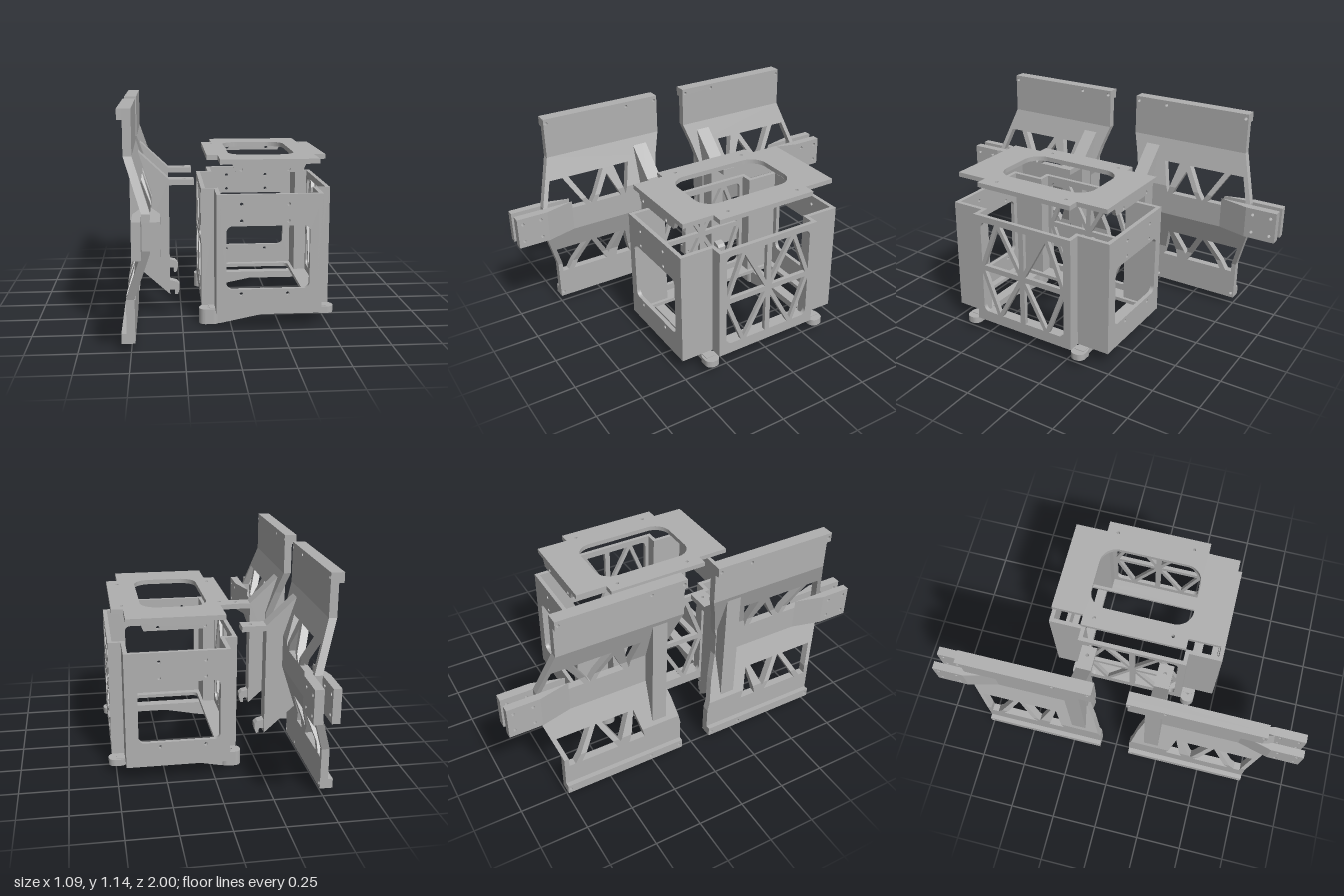
import * as THREE from 'three';
import { ConvexGeometry } from 'three/addons/geometries/ConvexGeometry.js';

const CZ = 0.01; // middle of the housing in z
const grey = new THREE.MeshStandardMaterial({ color: 0xb0b0b0 });
grey.name = 'grey plastic';

function add(parent, name, geometry) {
  const mesh = new THREE.Mesh(geometry, grey);
  mesh.name = name;
  parent.add(mesh);
  return mesh;
}
function group(parent, name) {
  const g = new THREE.Group();
  g.name = name;
  parent.add(g);
  return g;
}
const poly = pts => new THREE.Shape(pts.map(p => new THREE.Vector2(...p)));
const rect = (a, b, c, d) => poly([[a, b], [c, b], [c, d], [a, d]]);
const disc = (x, y, r = 0.009) => new THREE.Path().absarc(x, y, r, 0, Math.PI * 2, true);
function roundRect(a, b, c, d, r) {
  const s = new THREE.Shape();
  s.absarc(c - r, d - r, r, 0, Math.PI / 2);
  s.absarc(a + r, d - r, r, Math.PI / 2, Math.PI);
  s.absarc(a + r, b + r, r, Math.PI, Math.PI * 1.5);
  s.absarc(c - r, b + r, r, Math.PI * 1.5, Math.PI * 2);
  s.closePath();
  return s;
}
function extrude(shape, depth, holes = []) {
  shape.holes.push(...holes);
  return new THREE.ExtrudeGeometry(shape, { depth, bevelEnabled: false, curveSegments: 8 });
}
// Shape in x,y between z0 and z1
const plateXY = (shape, z0, z1, holes) => extrude(shape, z1 - z0, holes).translate(0, 0, z0);
// Shape in z,y between x0 and x1
const plateZY = (shape, x0, x1, holes) => extrude(shape, x1 - x0, holes).rotateY(-Math.PI / 2).translate(x1, 0, 0);
// Shape in x,z between y0 and y1
const plateXZ = (shape, y0, y1, holes) => extrude(shape, y1 - y0, holes).rotateX(Math.PI / 2).translate(0, y1, 0);
const box = (x0, x1, y0, y1, z0, z1) =>
  new THREE.BoxGeometry(x1 - x0, y1 - y0, z1 - z0).translate((x0 + x1) / 2, (y0 + y1) / 2, (z0 + z1) / 2);

// Amount the folded panel has moved inwards at height y (0 to 0.08)
function bend(y) {
  if (y < 0.51) return 0.08 * THREE.MathUtils.clamp((y - 0.26) / 0.25, 0, 1);
  return 0.08 * THREE.MathUtils.clamp((0.93 - y) / 0.25, 0, 1);
}
const inner = y => 0.085 + bend(y);
const outer = y => 0.755 + bend(y);

// Folded piece of panel: a strip from y0 to y1, cut at the folds
function foldedStrip(parent, name, s, y0, l0, r0, y1, l1, r1) {
  const ys = [y0, ...[0.26, 0.51, 0.68, 0.93].filter(f => f > y0 && f < y1), y1];
  for (let i = 0; i + 1 < ys.length; i++) {
    const pts = [];
    for (const y of [ys[i], ys[i + 1]]) {
      const t = (y - y0) / (y1 - y0);
      for (const z of [l0 + (l1 - l0) * t, r0 + (r1 - r0) * t])
        for (const x of [-0.52, -0.48]) pts.push(new THREE.Vector3(x + bend(y), y, z * s));
    }
    add(parent, name, new ConvexGeometry(pts));
  }
}

function buildPanel(root, s) {
  const g = group(root, s > 0 ? 'frontSidePanel' : 'backSidePanel');
  const zRect = (a, b, y0, y1) => rect(Math.min(a * s, b * s), y0, Math.max(a * s, b * s), y1);
  const span = (a, b) => [Math.min(a * s, b * s), Math.max(a * s, b * s)];
  const screwHoles = y => [0.74, 0.275, 0.102].map(z => disc(z * s, y));

  // Upright ends with rear flanges
  add(g, 'panelTop', plateZY(zRect(0.085, 0.755, 0.93, 1.145), -0.52, -0.48, screwHoles(1.12)));
  add(g, 'panelBottom', plateZY(zRect(0.085, 0.755, 0.045, 0.21), -0.52, -0.48, screwHoles(0.07)));
  add(g, 'topFlange', plateZY(zRect(0.085, 0.755, 1.095, 1.145), -0.545, -0.52, screwHoles(1.12)));
  add(g, 'bottomFlange', plateZY(zRect(0.085, 0.755, 0.045, 0.095), -0.545, -0.52, screwHoles(0.07)));

  // Solid folded bands
  for (const [a, b] of [[0.385, 0.51], [0.51, 0.64], [0.81, 0.93]])
    foldedStrip(g, 'panelBand', s, a, inner(a), outer(a), b, inner(b), outer(b));

  // Braces between the triangular openings; n = narrow edge, w = wide edge
  for (const [n, w] of [[0.21, 0.385], [0.81, 0.64]]) {
    const strip = (a, b, c, d) => n < w
      ? foldedStrip(g, 'panelBrace', s, n, a, b, w, c, d)
      : foldedStrip(g, 'panelBrace', s, w, c, d, n, a, b);
    strip(inner(n), 0.285, inner(w), 0.285);
    strip(0.39, 0.455, 0.345, 0.375);
    strip(0.285, 0.30, 0.285, 0.345);
    strip(0.42, 0.455, 0.525, 0.555);
    strip(0.66, 0.695, 0.56, 0.59);
    for (const [a, b] of [[n, 0.26], [0.26, w]].filter(() => n < w))
      foldedStrip(g, 'panelEdge', s, a, outer(a) - 0.025, outer(a), b, outer(b) - 0.025, outer(b));
    for (const [a, b] of [[w, 0.68], [0.68, n]].filter(() => n > w))
      foldedStrip(g, 'panelEdge', s, a, outer(a) - 0.025, outer(a), b, outer(b) - 0.025, outer(b));
  }

  // Twin clamp plates at the outer end
  for (const [x0, x1, flat] of [[-0.40, -0.355, -0.40], [-0.48, -0.44, -0.44]]) {
    const holes = [0.87, 0.97].flatMap(z => [0.545, 0.645].map(y => disc(z * s, y)));
    add(g, 'clampPlate', plateZY(zRect(0.83, 1, 0.51, 0.68), x0, x1, holes));
    const pts = [0.51, 0.68].flatMap(y => [[x0, 0.83], [x1, 0.83], [flat, 0.67]]
      .map(([x, z]) => new THREE.Vector3(x, y, z * s)));
    add(g, 'clampWedge', new ConvexGeometry(pts));
  }

  // Gusset, support arm and lower hook
  add(g, 'gusset', plateXY(poly([[-0.512, 0.93], [-0.31, 0.74], [-0.31, 0.125], [-0.475, 0.275], [-0.512, 0.26]]),
    ...span(0.17, 0.25)));
  const [z0, z1] = span(0.17, 0.25);
  add(g, 'supportArm', plateXZ(rect(-0.32, z0, -0.18, z1), 0.71, 0.74, [disc(-0.23, 0.21 * s)]));
  add(g, 'hook', plateXY(poly([[-0.315, 0.2], [-0.275, 0.19], [-0.26, 0.175], [-0.26, 0.15], [-0.268, 0.122],
    [-0.284, 0.122], [-0.284, 0.148], [-0.315, 0.148]]), ...span(0.19, 0.24)));
}

// Cross-shaped plan outline: wide in the middle, long at the ends
const cross = (xa, xb, xc, xd, zi, zo) => poly([
  [xb, CZ - zo], [xc, CZ - zo], [xc, CZ - zi], [xd, CZ - zi], [xd, CZ + zi], [xc, CZ + zi],
  [xc, CZ + zo], [xb, CZ + zo], [xb, CZ + zi], [xa, CZ + zi], [xa, CZ - zi], [xb, CZ - zi]]);

function buildHousing(root) {
  const g = group(root, 'housing');
  const T = 0.022, Y0 = 0.09, Y1 = 0.70;
  for (const s of [-1, 1]) {
    const span = (a, b) => [Math.min(a * s, b * s) + CZ, Math.max(a * s, b * s) + CZ];
    // End wall with window and screw holes
    const holes = [0.65, 0.565, 0.19].flatMap(y => [0.045, 0.28].map(x => disc(x, y)));
    add(g, 'endWall', plateXY(rect(-0.08, Y0, 0.455, Y1), ...span(0.478 - T, 0.478),
      [roundRect(-0.03, 0.215, 0.39, 0.54, 0.03), ...holes]));
    // Stepped corners
    for (const [x, dir] of [[-0.08, -1], [0.455, 1]]) {
      const end = x + dir * 0.067;
      add(g, 'cornerReturn', box(Math.min(x, x - dir * T), Math.max(x, x - dir * T), Y0, Y1, ...span(0.298 - T, 0.478)));
      add(g, 'cornerStep', box(Math.min(x - dir * T, end), Math.max(x - dir * T, end), 0.08, Y1, ...span(0.298 - T, 0.298)));
    }
  }

  // Lattice side walls
  for (const [x0, x1] of [[-0.147, -0.125], [0.5, 0.522]]) {
    add(g, 'latticeFrame', plateZY(rect(CZ - 0.298, 0.08, CZ + 0.298, Y1), x0, x1,
      [roundRect(CZ - 0.255, 0.14, CZ + 0.255, 0.665, 0.03)]));
    const bar = (za, ya, zb, yb, w) => {
      const geo = new THREE.BoxGeometry(x1 - x0, Math.hypot(zb - za, yb - ya), w);
      geo.rotateX(Math.atan2(zb - za, yb - ya));
      add(g, 'latticeBar', geo.translate((x0 + x1) / 2, (ya + yb) / 2, (za + zb) / 2 + CZ));
    };
    bar(0, 0.14, 0, 0.665, 0.03);
    bar(-0.255, 0.4025, 0.255, 0.4025, 0.03);
    for (const s of [-1, 1]) for (const y of [0.13, 0.675]) {
      bar(0, 0.4025, s * 0.15, y, 0.022);
      bar(s * 0.255, 0.4025, s * 0.15, y, 0.022);
    }
  }

  // Inner lip round the open bottom
  add(g, 'bottomLip', plateXZ(cross(-0.147, -0.08, 0.455, 0.522, 0.298, 0.478), 0.083, 0.103,
    [roundRect(-0.04, CZ - 0.42, 0.415, CZ + 0.42, 0.03)]));

  // Cross bars below with a screw lug at each end
  for (const s of [-1, 1]) {
    const a = s * 0.295 + CZ, b = s * 0.375 + CZ, z0 = Math.min(a, b), z1 = Math.max(a, b);
    add(g, 'footBar', plateXY(poly([[-0.11, 0], [-0.055, 0], [0.17, 0.045], [0.5, 0.045], [0.5, 0.083], [-0.11, 0.083]]),
      z0 + 0.012, z1 - 0.012));
    const hz = (a + b) / 2;
    add(g, 'leftLug', plateXZ(roundRect(0.445, z0, 0.54, z1, 0.035), 0.045, 0.08, [disc(0.485, hz)]));
    add(g, 'rightLug', plateXZ(roundRect(-0.162, z0, -0.055, z1, 0.035), 0, 0.08, [disc(-0.11, hz)]));
  }
}

function buildLid(root) {
  const g = group(root, 'lid');
  const holes = [-0.065, 0.44].flatMap(x => [-0.21, 0.21].map(z => disc(x, z)));
  add(g, 'lidPlate', plateXZ(cross(-0.117, -0.06, 0.437, 0.497, 0.28, 0.452), 0.845, 0.87,
    [roundRect(0, CZ - 0.275, 0.345, CZ + 0.275, 0.09), ...holes]));
  // Hanging tabs at both ends
  for (const z of [CZ - 0.452, CZ + 0.43])
    add(g, 'lidTab', plateXY(poly([[0, 0.847], [0.018, 0.805], [0.35, 0.805], [0.367, 0.847]]), z, z + 0.022,
      [disc(0.045, 0.82), disc(0.28, 0.82)]));
}

export function createModel() {
  const root = new THREE.Group();
  root.name = 'explodedEnclosure';
  for (const s of [1, -1]) buildPanel(root, s);
  buildHousing(root);
  buildLid(root);
  return root;
}
